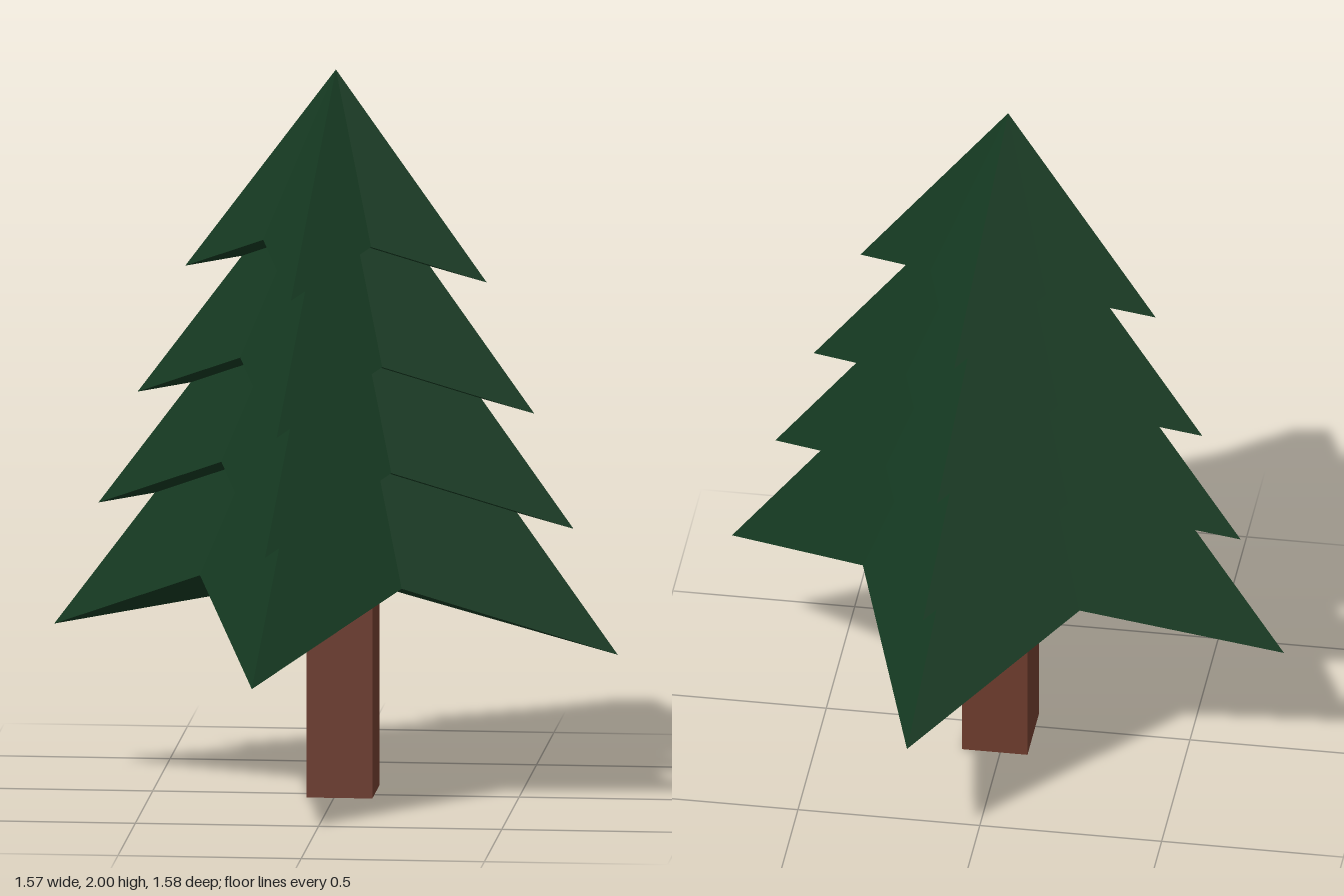
import * as THREE from 'three';

// Outline of the widest tier, alternating branch tip and notch: [x, height above tips, z]
const RIM = [
  [0.785, 0, 0.165], [0.215, 0.21, 0.375],
  [-0.155, 0, 0.785], [-0.35, 0.21, 0.22],
  [-0.785, 0, -0.17], [-0.255, 0.22, -0.375],
  [0.155, 0, -0.79], [0.355, 0.245, -0.285],
];
const APEX = [0, 1.056, 0];
const HOLLOW = [0, 0.18, 0];

// Star-shaped cone with a hollow underside
function tierGeometry() {
  const points = [];
  RIM.forEach((a, i) => {
    const b = RIM[(i + 1) % RIM.length];
    points.push(...APEX, ...b, ...a);
    points.push(...HOLLOW, ...a, ...b);
  });
  const geometry = new THREE.BufferGeometry();
  geometry.setAttribute('position', new THREE.Float32BufferAttribute(points, 3));
  geometry.computeVertexNormals();
  return geometry;
}

export function createModel() {
  const tree = new THREE.Group();
  tree.name = 'pineTree';

  const needles = new THREE.MeshStandardMaterial({ color: 0x143820, flatShading: true });
  const bark = new THREE.MeshStandardMaterial({ color: 0x6b3a2c, flatShading: true });

  // Trunk, slightly off centre
  const trunk = new THREE.Mesh(new THREE.BoxGeometry(0.18, 0.75, 0.2), bark);
  trunk.name = 'trunk';
  trunk.position.set(0.015, 0.375, -0.04);
  tree.add(trunk);

  // Four tiers of branches, [tip height, scale]
  const geometry = tierGeometry();
  [[0.427, 1], [0.768, 0.843], [1.08, 0.704], [1.435, 0.535]].forEach(([y, scale], i) => {
    const tier = new THREE.Mesh(geometry, needles);
    tier.name = `branchTier${i + 1}`;
    tier.position.y = y;
    tier.scale.setScalar(scale);
    tree.add(tier);
  });

  return tree;
}
